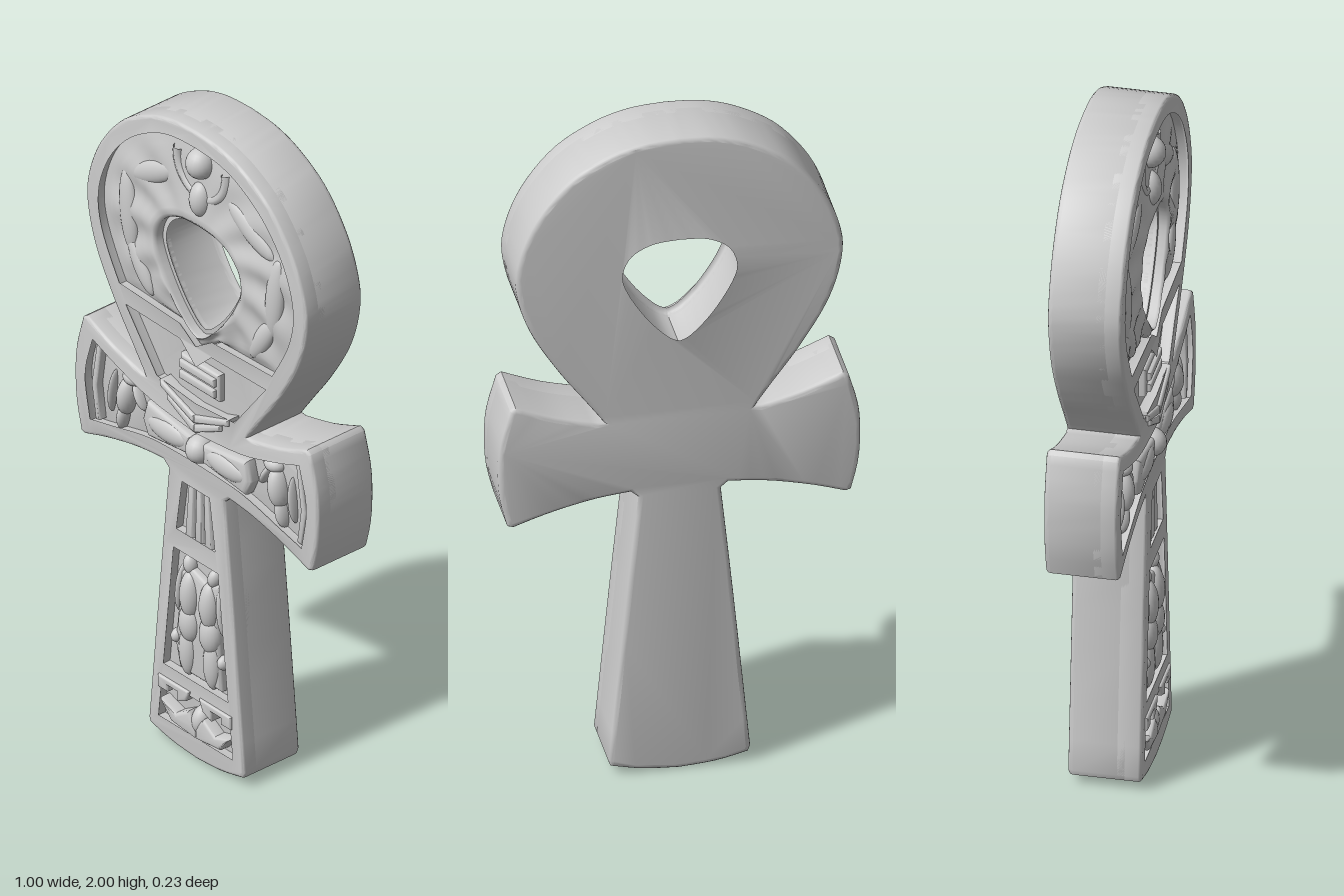
import * as THREE from 'three';
import { toCreasedNormals } from 'three/addons/utils/BufferGeometryUtils.js';

const FLOOR = 0.055, FRONT = 0.088, BACK = -0.117;
const grey = new THREE.MeshStandardMaterial({ color: 0xcccccc, side: THREE.DoubleSide });
const V = (p) => new THREE.Vector2(p[0], p[1]);

// smooth run through a few points
const curve = (pts, n = 24) => new THREE.SplineCurve(pts.map(V)).getPoints(n);
// right half (top to bottom) mirrored into a closed outline
function mirrored(half) {
  const left = half.filter((p) => p.x > 1e-4).map((p) => new THREE.Vector2(-p.x, p.y)).reverse();
  return [...half, ...left];
}
const flip = (pts) => pts.map(([x, y]) => [-x, y]);

// extruded slab between z0 and z1, bevelled inwards
function slab(outline, holes, z0, z1, bevel) {
  const shape = new THREE.Shape(outline);
  shape.holes = holes.map((h) => new THREE.Path(h));
  const g = new THREE.ExtrudeGeometry(shape, {
    depth: z1 - z0 - 2 * bevel, bevelThickness: bevel, bevelSize: bevel,
    bevelOffset: -bevel, bevelSegments: 3, curveSegments: 1,
  });
  g.translate(0, 0, z0 + bevel);
  return toCreasedNormals(g, 0.7);
}

// distance from (0, cy) to a closed outline along an angle
function radiusAt(outline, cy, a) {
  const dx = Math.cos(a), dy = Math.sin(a);
  let best = 0;
  outline.forEach((p, i) => {
    const q = outline[(i + 1) % outline.length];
    const ex = q.x - p.x, ey = q.y - p.y, d = dx * ey - dy * ex;
    if (Math.abs(d) < 1e-9) return;
    const t = (p.x * ey - (p.y - cy) * ex) / d;
    const s = (p.x * dy - (p.y - cy) * dx) / d;
    if (s >= -1e-6 && s <= 1 + 1e-6 && t > best) best = t;
  });
  return best;
}

// dished, feathered floor between the eye of the loop and its rim
function dish(inner, outer, cy) {
  const N = 180, pos = [], idx = [];
  const rows = [[0, 0.03], [0, 0.076], [0.05, 0.085], [0.12, 0.083], [0.25, 0.077], [0.4, 0.073],
    [0.55, 0.071], [0.7, 0.069], [0.82, 0.065], [0.92, 0.06], [1.03, 0.056]];
  rows.forEach(([t, z]) => {
    for (let i = 0; i < N; i++) {
      const a = (i / N) * Math.PI * 2 + 0.005;
      const r0 = radiusAt(inner, cy, a), r = r0 + (radiusAt(outer, cy, a) - r0) * t;
      const side = Math.abs(Math.cos(a));
      const wave = 0.008 * side * Math.sin(Math.PI * Math.min(t, 1)) * Math.sin(a * 13 * Math.sign(Math.cos(a)) + t * 5);
      pos.push(r * Math.cos(a), cy + r * Math.sin(a), z + wave);
    }
  });
  for (let j = 0; j < rows.length - 1; j++) for (let i = 0; i < N; i++) {
    const k = (i + 1) % N, a = j * N + i, b = j * N + k;
    idx.push(a, a + N, b, b, a + N, b + N);
  }
  const g = new THREE.BufferGeometry();
  g.setAttribute('position', new THREE.Float32BufferAttribute(pos, 3));
  g.setIndex(idx);
  g.computeVertexNormals();
  return g;
}

export function createModel() {
  const group = new THREE.Group();
  const add = (name, geo, parent = group) => {
    const m = new THREE.Mesh(geo, grey);
    m.name = name;
    parent.add(m);
    return m;
  };
  const section = (name) => {
    const s = new THREE.Group();
    s.name = name;
    group.add(s);
    return s;
  };
  // flattened relief lump
  const lump = (parent, name, x, y, sx, sy, sz, rot = 0, z = FLOOR) => {
    const m = add(name, new THREE.SphereGeometry(1, 20, 14), parent);
    m.position.set(x, y, z);
    m.scale.set(sx, sy, sz);
    m.rotation.z = rot;
  };
  const plate = (parent, name, pts, top, bevel = 0.008, z0 = 0.035) =>
    add(name, slab(pts.map(V), [], z0, top, bevel), parent);

  // outer silhouette
  const outline = mirrored([
    ...curve([[0, 2], [0.1, 1.992], [0.2, 1.96], [0.31, 1.89], [0.4, 1.775], [0.447, 1.65], [0.447, 1.55],
      [0.41, 1.43], [0.335, 1.3], [0.26, 1.195], [0.21, 1.125]], 48),
    ...curve([[0.225, 1.125], [0.34, 1.155], [0.452, 1.2]], 8),
    ...curve([[0.467, 1.19], [0.494, 1.09], [0.5, 1.0], [0.494, 0.91], [0.474, 0.825]], 12),
    ...curve([[0.458, 0.82], [0.36, 0.852], [0.24, 0.88], [0.135, 0.892]], 10),
    ...curve([[0.115, 0.875], [0.15, 0.53], [0.196, 0.045]], 8),
    ...curve([[0.19, 0.028], [0.1, 0.008], [0, 0]], 8),
  ]);
  // teardrop eye
  const eye = mirrored(curve([[0, 1.695], [0.08, 1.687], [0.145, 1.65], [0.172, 1.585], [0.155, 1.52],
    [0.1, 1.43], [0.04, 1.365], [0, 1.345]], 32));

  // recessed panels
  const loopPanel = mirrored([
    ...curve([[0, 1.96], [0.1, 1.952], [0.19, 1.92], [0.29, 1.85], [0.37, 1.745], [0.41, 1.62],
      [0.392, 1.5], [0.32, 1.362]], 32),
    V([0.07, 1.352]), V([0, 1.305]),
  ]);
  const neckPanel = mirrored([[0, 1.265], [0.06, 1.322], [0.3, 1.322], [0.165, 1.14], [0, 1.125]].map(V));
  const armPanel = mirrored([
    ...curve([[0, 1.05], [0.18, 1.07], [0.32, 1.11], [0.43, 1.152]], 12),
    ...curve([[0.458, 1.06], [0.464, 0.99], [0.442, 0.868]], 8),
    ...curve([[0.34, 0.892], [0.18, 0.928], [0, 0.935]], 10),
  ]);
  const box = (w1, y1, w0, y0) => mirrored([[w1, y1], [w0, y0]].map(V));
  const shaftPanels = [box(0.065, 0.87, 0.09, 0.69), box(0.1, 0.645, 0.143, 0.235), box(0.148, 0.2, 0.163, 0.06)];

  add('body', slab(outline, [eye], BACK, FLOOR, 0.014));
  add('raisedRim', slab(outline, [loopPanel, neckPanel, armPanel, ...shaftPanels], 0.01, FRONT, 0.01));
  add('loopDish', dish(eye, loopPanel, 1.56));

  // loop emblem: disc, crescent and drop, with wings either side
  const emblem = section('loopEmblem');
  lump(emblem, 'disc', 0, 1.895, 0.042, 0.046, 0.045, 0, 0.068);
  lump(emblem, 'drop', 0, 1.78, 0.036, 0.055, 0.038, 0, 0.064);
  const crescent = add('crescent', new THREE.TorusGeometry(0.1, 0.016, 8, 28, Math.PI * 1.1), emblem);
  crescent.position.set(0, 1.885, 0.062);
  crescent.rotation.z = Math.PI * 0.95;
  for (const s of [1, -1]) {
    lump(emblem, 'wingTop', s * 0.2, 1.77, 0.11, 0.035, 0.022, s * -0.5, 0.06);
    lump(emblem, 'wingSide', s * 0.3, 1.6, 0.035, 0.13, 0.022, s * -0.1, 0.062);
    lump(emblem, 'wingTip', s * 0.25, 1.45, 0.03, 0.09, 0.02, s * -0.55, 0.063);
  }

  // neck tablet with two bars
  const neck = section('neckTablet');
  plate(neck, 'tablet', [[-0.08, 1.17], [0.08, 1.17], [0.08, 1.255], [-0.08, 1.255]], 0.076);
  for (const y of [1.195, 1.23])
    plate(neck, 'tabletBar', [[-0.072, y - 0.012], [0.072, y - 0.012], [0.072, y + 0.012], [-0.072, y + 0.012]], 0.088, 0.006);

  // chevrons where the neck meets the arms
  const chevrons = section('chevrons');
  [[1.135, 0.14], [1.105, 0.11]].forEach(([y, w]) => {
    for (const s of [1, -1]) {
      const pts = [[0, y - 0.06], [w, y - 0.005], [w, y + 0.015], [0, y - 0.035]];
      plate(chevrons, 'chevronArm', s > 0 ? pts : flip(pts), 0.098, 0.007);
    }
  });

  // bow and knot across the arms
  const bow = section('bow');
  lump(bow, 'knot', 0, 0.985, 0.04, 0.042, 0.045, 0, 0.07);
  const wing = [[0.025, 0.955], [0.2, 0.935], [0.222, 0.985], [0.205, 1.045], [0.025, 1.015]];
  const figure = section('armFigures');
  for (const s of [1, -1]) {
    const side = (pts) => (s > 0 ? pts : flip(pts));
    plate(bow, 'bowWing', side(wing), 0.09, 0.015);
    lump(bow, 'bowSwell', s * 0.12, 0.988, 0.085, 0.035, 0.022, 0, 0.08);
    // end strips and small figures
    plate(figure, 'endStrip', side([[0.405, 0.885], [0.422, 0.88], [0.44, 0.99], [0.415, 1.14], [0.4, 1.13], [0.42, 0.99]]), 0.08, 0.006);
    lump(figure, 'head', s * 0.29, 1.07, 0.035, 0.024, 0.03);
    lump(figure, 'torso', s * 0.31, 1.005, 0.03, 0.065, 0.04, s * 0.15);
    lump(figure, 'leg', s * 0.325, 0.935, 0.018, 0.05, 0.03, s * 0.2);
    lump(figure, 'staff', s * 0.37, 0.99, 0.01, 0.07, 0.025, s * 0.1);
    lump(figure, 'arm', s * 0.26, 1.025, 0.012, 0.045, 0.025, s * -0.5);
  }

  // flutes at the top of the shaft
  const flutes = section('shaftFlutes');
  for (const i of [-1, 0, 1])
    plate(flutes, 'flute', [[i * 0.04 - 0.017, 0.685], [i * 0.04 + 0.017, 0.685], [i * 0.03 + 0.012, 0.872], [i * 0.03 - 0.012, 0.872]], 0.08, 0.01);

  // pair of standing figures on the shaft
  const pair = section('standingPair');
  plate(pair, 'pairBase', [[-0.08, 0.25], [0.09, 0.25], [0.075, 0.45], [0.085, 0.585], [0.03, 0.565], [-0.03, 0.585],
    [-0.075, 0.56], [-0.085, 0.46], [-0.1, 0.33]], 0.078, 0.012);
  for (const s of [1, -1]) {
    lump(pair, 'torso', s * 0.04, 0.5, 0.034, 0.075, 0.034, 0, 0.068);
    lump(pair, 'hips', s * 0.042, 0.41, 0.038, 0.06, 0.032, 0, 0.068);
    lump(pair, 'legs', s * 0.05, 0.32, 0.032, 0.08, 0.026, 0, 0.068);
    lump(pair, 'arm', s * 0.085, 0.5, 0.014, 0.08, 0.026, s * 0.1, 0.06);
    lump(pair, 'hand', s * 0.095, 0.345, 0.018, 0.022, 0.026, 0, 0.065);
    lump(pair, 'crown', s * 0.05, 0.59, 0.02, 0.03, 0.024, s * -0.2, 0.06);
  }

  // winged flower at the foot
  const foot = section('footFlower');
  lump(foot, 'bud', 0, 0.115, 0.03, 0.045, 0.035, 0, 0.06);
  for (const s of [1, -1]) {
    const side = (pts) => (s > 0 ? pts : flip(pts));
    plate(foot, 'petal', side([[0, 0.065], [0.1, 0.075], [0.145, 0.13], [0.08, 0.11], [0.03, 0.14], [0, 0.105]]), 0.092, 0.01);
    plate(foot, 'upperStep', side([[0.02, 0.205], [0.15, 0.205], [0.15, 0.165], [0.11, 0.165], [0.11, 0.185], [0.07, 0.185], [0.07, 0.155], [0.035, 0.17]]), 0.096, 0.006);
  }
  return group;
}
